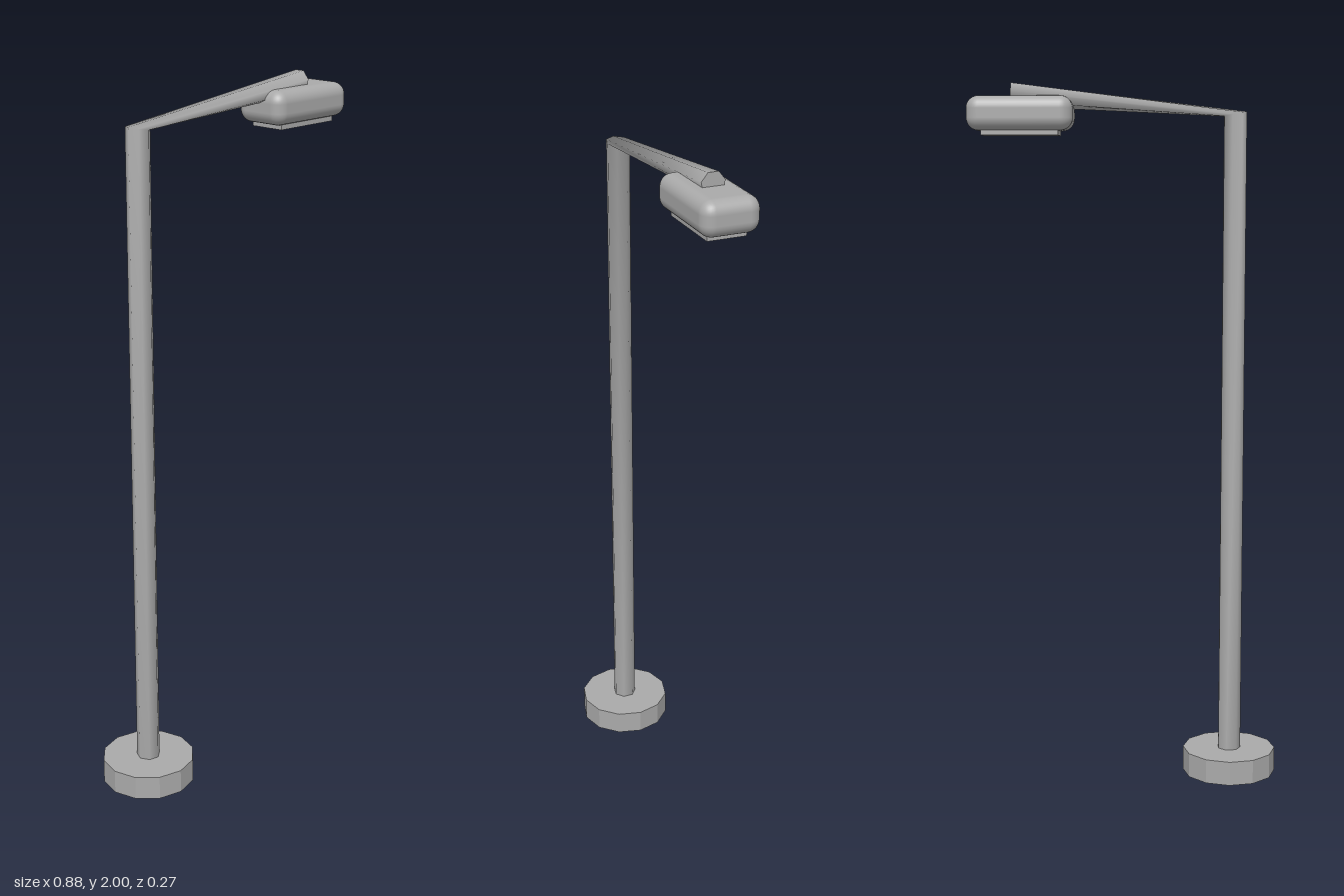
import * as THREE from 'three';
import { RoundedBoxGeometry } from 'three/addons/geometries/RoundedBoxGeometry.js';

const SIDES = 7, RADIUS = 0.034, POLE_X = -0.308;

// Seven-sided tube through rings: centre, tilt from upright towards +x, twist.
function tubeThrough(rings) {
  const pos = [], index = [];
  for (const { x, y, tilt, twist } of rings) {
    for (let j = 0; j < SIDES; j++) {
      const t = twist + (j / SIDES) * Math.PI * 2;
      const u = RADIUS * Math.cos(t);
      pos.push(x - u * Math.cos(tilt), y + u * Math.sin(tilt), RADIUS * Math.sin(t));
    }
  }
  for (let i = 0; i < rings.length - 1; i++) {
    for (let j = 0; j < SIDES; j++) {
      const k = (j + 1) % SIDES, a = i * SIDES, b = a + SIDES;
      index.push(a + j, a + k, b + k, a + j, b + k, b + j);
    }
  }
  const geo = new THREE.BufferGeometry();
  geo.setAttribute('position', new THREE.Float32BufferAttribute(pos, 3));
  geo.setIndex(index);
  geo.computeVertexNormals();
  return geo;
}

export function createModel() {
  const model = new THREE.Group();
  model.name = 'streetLamp';
  const grey = new THREE.MeshStandardMaterial({ color: 0xaaaaaa, side: THREE.DoubleSide });
  grey.name = 'grey';

  const add = (name, geo, x, y, z = 0) => {
    const mesh = new THREE.Mesh(geo, grey);
    mesh.name = name;
    mesh.position.set(x, y, z);
    model.add(mesh);
    return mesh;
  };

  // Round footing
  add('base', new THREE.CylinderGeometry(0.135, 0.135, 0.07, 12).toNonIndexed(), POLE_X, 0.035)
    .geometry.computeVertexNormals();

  // Pole bending sharply into the arm, which twists by half a side
  const halfSide = Math.PI / SIDES;
  add('poleAndArm', tubeThrough([
    { x: POLE_X, y: 0.01, tilt: 0, twist: 0 },
    { x: POLE_X, y: 1.913, tilt: 0.2, twist: 0 },
    { x: 0.318, y: 1.969, tilt: Math.PI / 2, twist: halfSide },
  ]), 0, 0);

  // Flat end of the arm
  const cap = add('armEnd', new THREE.CircleGeometry(RADIUS, SIDES, Math.PI / 2 + halfSide), 0.318, 1.969);
  cap.rotation.y = Math.PI / 2;

  // Lamp housing and the lens below it
  add('lampHousing', new RoundedBoxGeometry(0.297, 0.096, 0.162, 4, 0.035), 0.292, 1.915);
  add('lens', new THREE.BoxGeometry(0.216, 0.03, 0.108), 0.292, 1.869);

  return model;
}
